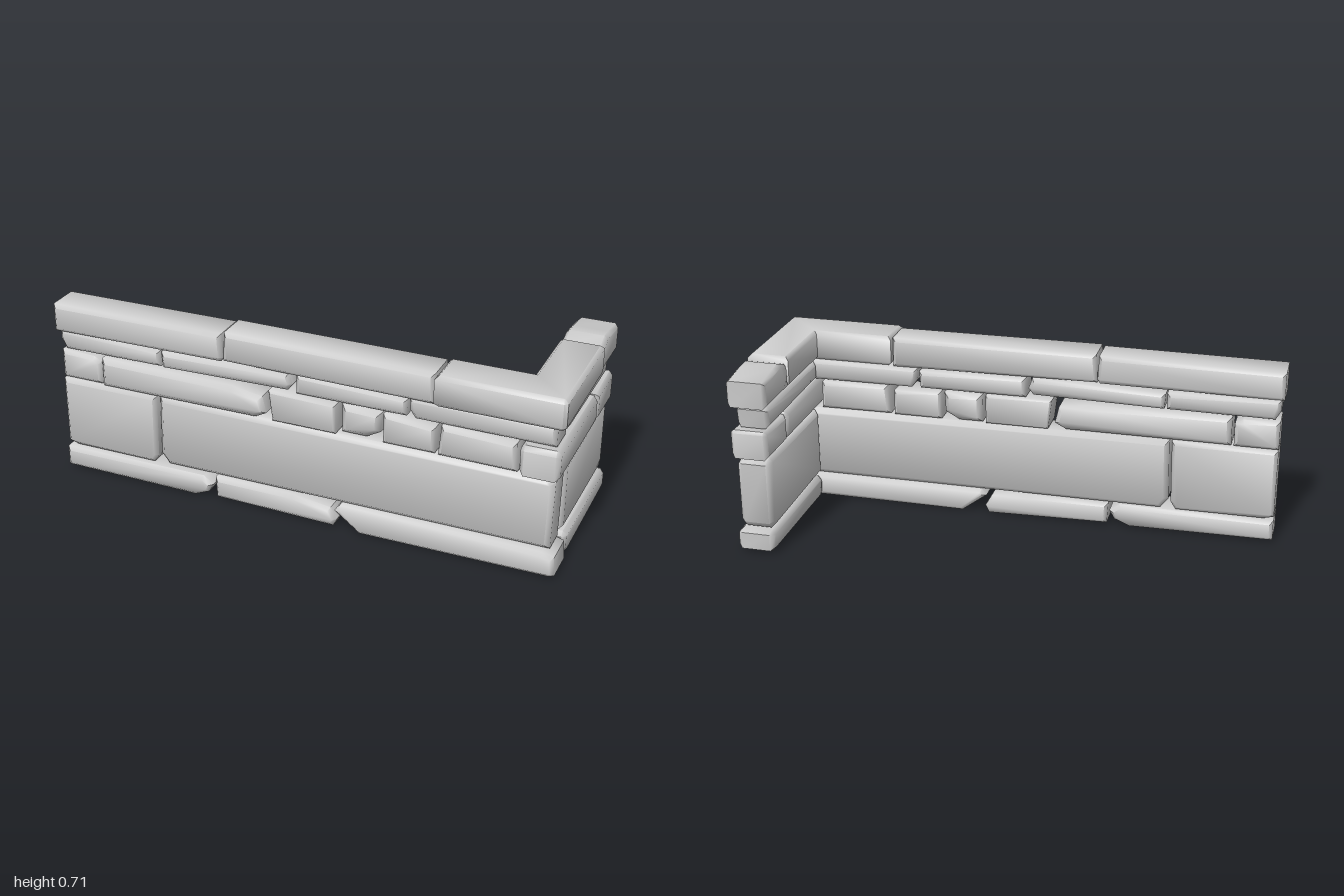
import * as THREE from 'three';
import { toCreasedNormals } from 'three/addons/utils/BufferGeometryUtils.js';

export function createModel() {
  const wall = new THREE.Group();
  wall.name = 'stoneWall';
  const material = new THREE.MeshStandardMaterial({ color: 0xcccccc, roughness: 0.9 });

  // A stone is an outline extruded between two depths, with chamfered rims.
  function stone(name, points, from, to, bevel = 0.014, plane = 'front') {
    const shape = new THREE.Shape(points.map(([a, b]) => new THREE.Vector2(a, b)));
    const geo = new THREE.ExtrudeGeometry(shape, {
      depth: to - from - 2 * bevel, bevelEnabled: true, bevelSegments: 1,
      bevelThickness: bevel, bevelSize: bevel, bevelOffset: -bevel, curveSegments: 1,
    });
    geo.translate(0, 0, from + bevel);
    if (plane === 'side') geo.rotateY(Math.PI / 2); // outline runs along (-z, y)
    if (plane === 'plan') geo.rotateX(-Math.PI / 2); // outline runs along (x, -z)
    const mesh = new THREE.Mesh(toCreasedNormals(geo, 0.85), material);
    mesh.name = name;
    wall.add(mesh);
  }

  const B = 0.19; // back face of the long wall
  const I = 0.84; // inner face of the short wall

  // Base course
  stone('baseStoneRight', [[-0.99, 0.01], [-0.43, 0.005], [-0.37, 0.03], [-0.35, 0.065], [-0.39, 0.095], [-0.99, 0.092]], B, 0.34);
  stone('baseStoneMiddle', [[-0.34, 0.01], [0.14, 0.0], [0.155, 0.03], [0.13, 0.075], [-0.02, 0.095], [-0.345, 0.095]], B, 0.33);
  stone('baseStoneLeft', [[0.25, 0.0], [0.97, 0.003], [0.99, 0.012], [0.985, 0.085], [0.94, 0.098], [0.17, 0.1], [0.15, 0.075]], B, 0.343);
  stone('baseStoneSide', [[-0.16, 0.005], [0.33, 0.005], [0.355, 0.013], [0.355, 0.08], [0.33, 0.09], [-0.17, 0.1], [-0.19, 0.085], [-0.19, 0.028]], I, 0.985, 0.016, 'side');

  // Large block course
  stone('largeBlockRight', [[-0.99, 0.11], [-0.95, 0.1], [-0.61, 0.1], [-0.59, 0.13], [-0.585, 0.385], [-0.99, 0.385]], B, 0.325);
  stone('largeBlockLeft', [[-0.55, 0.1], [0.96, 0.102], [0.965, 0.37], [0.94, 0.385], [-0.575, 0.385], [-0.58, 0.14]], B, 0.32, 0.018);
  stone('largeBlockSide', [[-0.185, 0.11], [0.325, 0.1], [0.348, 0.125], [0.348, 0.365], [0.31, 0.382], [-0.185, 0.382]], I, 0.97, 0.016, 'side');

  // Small stone course, front row
  stone('smallStone1', [[-0.99, 0.39], [-0.82, 0.39], [-0.82, 0.48], [-0.85, 0.5], [-0.99, 0.505]], B, 0.32);
  stone('smallStone2', [[-0.81, 0.39], [-0.17, 0.392], [-0.125, 0.415], [-0.14, 0.48], [-0.26, 0.5], [-0.81, 0.505]], B, 0.335, 0.018);
  stone('smallStone3', [[-0.1, 0.39], [0.15, 0.39], [0.15, 0.505], [-0.115, 0.51]], B, 0.325, 0.008);
  stone('smallStone4', [[0.165, 0.39], [0.26, 0.39], [0.315, 0.42], [0.32, 0.5], [0.165, 0.505]], B, 0.31, 0.02);
  stone('smallStone5', [[0.33, 0.39], [0.525, 0.39], [0.525, 0.49], [0.33, 0.505]], B, 0.32, 0.012);
  stone('smallStone6', [[0.54, 0.392], [0.83, 0.39], [0.825, 0.5], [0.55, 0.51]], B, 0.33, 0.014);

  // Small stone course, short wall
  stone('smallCornerStone', [[-0.345, 0.393], [0.13, 0.39], [0.15, 0.405], [0.145, 0.485], [0.135, 0.5], [-0.33, 0.508], [-0.345, 0.49]], I, 0.985, 0.016, 'side');
  stone('smallEndStone', [[0.15, 0.39], [0.355, 0.388], [0.358, 0.49], [0.35, 0.502], [0.15, 0.495]], I, 0.985, 0.014, 'side');

  // Thin course under the coping
  stone('thinStone1', [[-0.97, 0.512], [-0.56, 0.515], [-0.56, 0.58], [-0.99, 0.592], [-0.99, 0.55]], B, 0.32);
  stone('thinStone2', [[-0.55, 0.515], [-0.04, 0.525], [-0.02, 0.55], [-0.035, 0.592], [-0.555, 0.578]], B, 0.325);
  stone('thinStone3', [[-0.01, 0.512], [0.415, 0.512], [0.42, 0.58], [-0.01, 0.592]], B, 0.315);
  stone('thinStone4', [[0.45, 0.512], [0.96, 0.51], [0.96, 0.592], [0.425, 0.592], [0.43, 0.54]], B, 0.32);
  stone('thinStoneSide', [[-0.19, 0.515], [0.325, 0.505], [0.335, 0.58], [0.31, 0.59], [-0.185, 0.59]], I, 0.965, 0.014, 'side');

  // Coping: two long slabs, an L-shaped corner slab and an end slab
  stone('copingRight', [[-1, 0.59], [-0.3, 0.595], [-0.29, 0.61], [-0.295, 0.705], [-1, 0.7]], B, 0.34);
  stone('copingMiddle', [[-0.29, 0.598], [0.525, 0.592], [0.525, 0.71], [-0.285, 0.712]], B, 0.337);
  stone('copingCorner', [[0.53, -0.355], [0.985, -0.355], [0.998, -0.345], [0.998, 0.118], [0.835, 0.118], [0.835, -B], [0.53, -B]], 0.595, 0.714, 0.014, 'plan');
  stone('copingEnd', [[0.122, 0.595], [0.355, 0.592], [0.355, 0.695], [0.24, 0.711], [0.19, 0.714], [0.125, 0.69]], 0.835, 0.99, 0.014, 'side');

  return wall;
}
